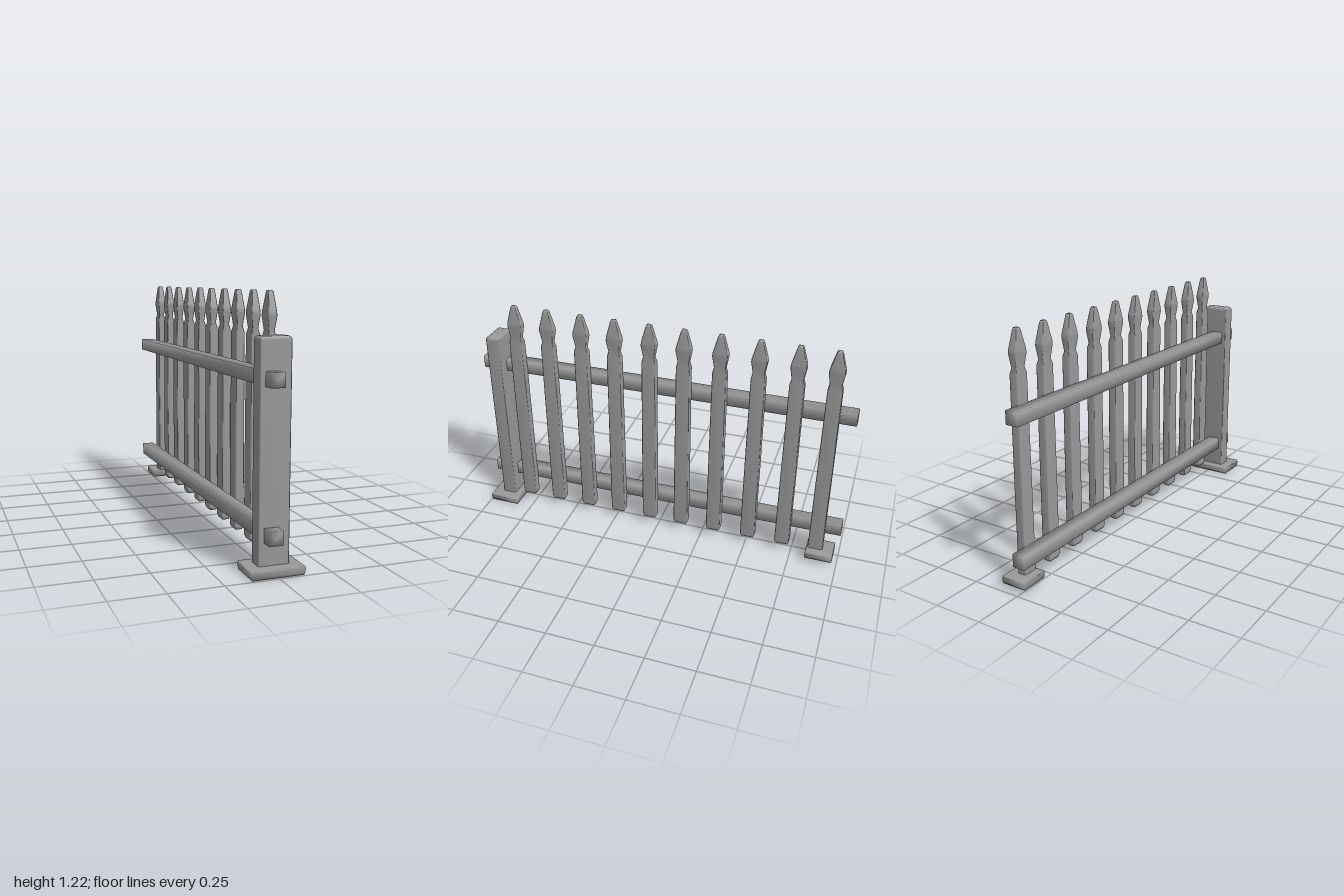
import * as THREE from 'three';

const gray = new THREE.MeshStandardMaterial({ color: 0x999999 });
gray.name = 'weathered gray';

// Smooth closed loft of rectangles along y; each ring is [y, halfX, halfZ].
// chamfer cuts the four corners by a share of the shorter half side.
function loft(rings, chamfer = 0) {
  const pos = [], index = [];
  for (const [y, hx, hz] of rings) {
    const c = chamfer * Math.min(hx, hz);
    const ring = chamfer
      ? [[hx - c, hz], [hx, hz - c], [hx, c - hz], [hx - c, -hz],
         [c - hx, -hz], [-hx, c - hz], [-hx, hz - c], [c - hx, hz]]
      : [[hx, hz], [hx, -hz], [-hx, -hz], [-hx, hz]];
    for (const [x, z] of ring) pos.push(x, y, z);
  }
  const n = chamfer ? 8 : 4;
  const last = (rings.length - 1) * n;
  const bottom = rings.length * n, top = bottom + 1;
  pos.push(0, rings[0][0], 0, 0, rings[rings.length - 1][0], 0);
  for (let i = 0; i < n; i++) {
    const j = (i + 1) % n;
    for (let r = 0; r < last; r += n) {
      index.push(r + i, r + j, r + n + i, r + j, r + n + j, r + n + i);
    }
    index.push(bottom, j, i, top, last + i, last + j);
  }
  const g = new THREE.BufferGeometry();
  g.setAttribute('position', new THREE.Float32BufferAttribute(pos, 3));
  g.setIndex(index);
  g.computeVertexNormals();
  return g;
}

export function createModel() {
  const fence = new THREE.Group();
  fence.name = 'picketFence';

  function add(name, geometry, x, y, z) {
    const mesh = new THREE.Mesh(geometry, gray);
    mesh.name = name;
    mesh.position.set(x, y, z);
    fence.add(mesh);
    return mesh;
  }

  // Thick end post with a bevelled top
  add('endPost', loft([
    [0.03, 0.073, 0.038], [1.015, 0.073, 0.038],
    [1.025, 0.068, 0.035], [1.03, 0.06, 0.029],
  ], 0.12), -0.001, 0, 0.904);

  // Foot plates under the end post and the last picket
  add('postFoot', loft([
    [0, 0.121, 0.078], [0.012, 0.124, 0.081], [0.033, 0.126, 0.083], [0.041, 0.122, 0.08],
    [0.041, 0.073, 0.038],
  ]), 0, 0, 0.912);
  add('picketFoot', loft([
    [0.025, 0.062, 0.069], [0.035, 0.065, 0.072], [0.057, 0.065, 0.072], [0.065, 0.062, 0.069],
    [0.065, 0.0225, 0.037],
  ]), 0.04, 0, -0.905);

  // Two square rails running the whole length
  const railGeometry = loft([[-1, 0.0325, 0.0325], [1, 0.0325, 0.0325]]);
  railGeometry.rotateX(Math.PI / 2);
  add('lowerRail', railGeometry, -0.0175, 0.178, 0);
  add('upperRail', railGeometry, -0.0175, 0.852, 0);

  // Ten pickets with spear-shaped heads
  const picketGeometry = loft([
    [0.05, 0.017, 0.032], [0.065, 0.0225, 0.039], [0.5, 0.0225, 0.038], [1.015, 0.0215, 0.036],
    [1.042, 0.014, 0.029], [1.105, 0.022, 0.039], [1.125, 0.021, 0.037],
    [1.207, 0.013, 0.015], [1.216, 0.01, 0.011],
  ], 0.2);
  [0.775, 0.595, 0.41, 0.23, 0.045, -0.135, -0.32, -0.512, -0.7, -0.88].forEach((z, i) => {
    add('picket' + (i + 1), picketGeometry, 0.038, 0, z);
  });

  return fence;
}
